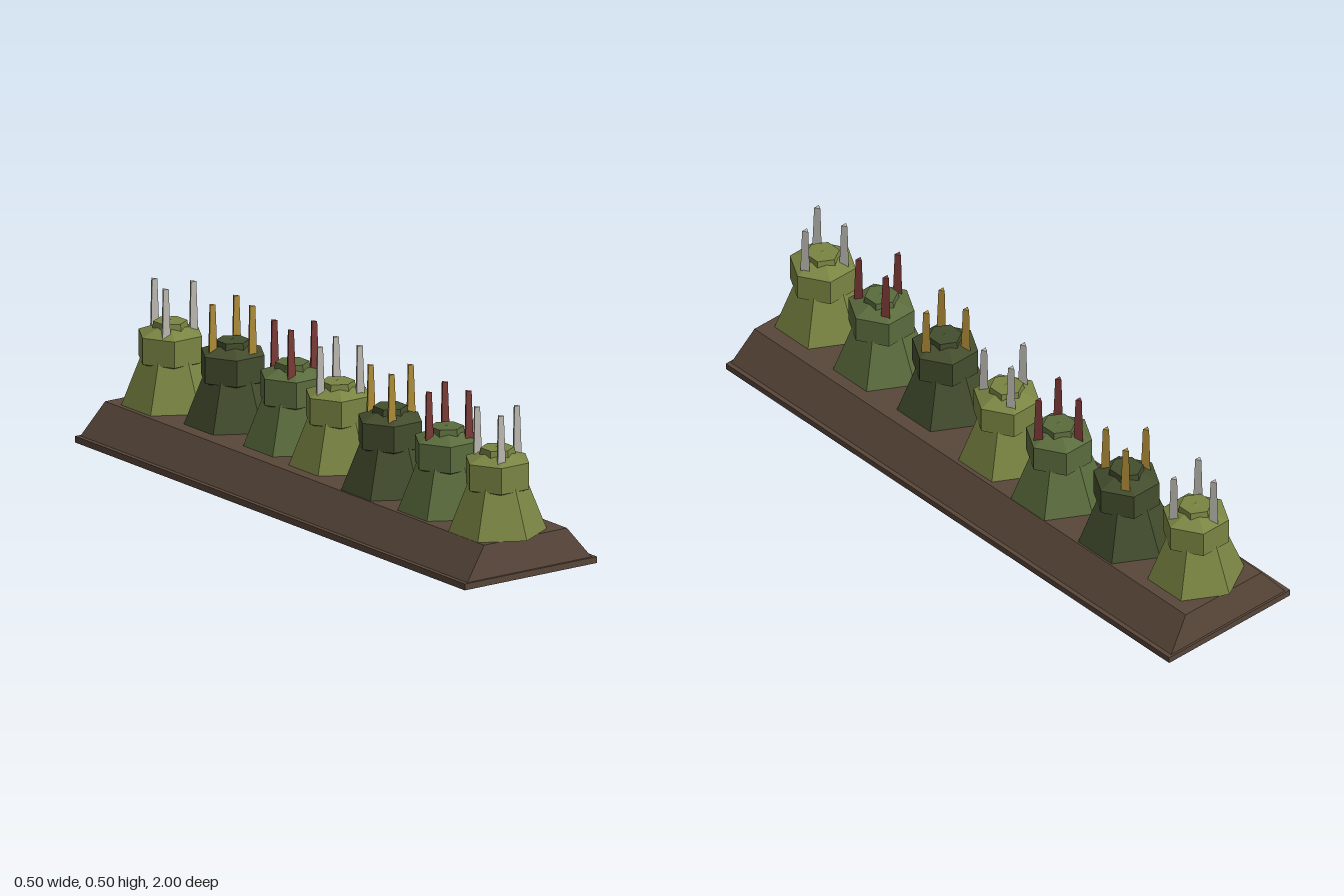
import * as THREE from 'three';

const mat = (name, color) => {
  const m = new THREE.MeshStandardMaterial({ color, flatShading: true });
  m.name = name;
  return m;
};

export function createModel() {
  const earth = mat('earth brown', 0x584639);
  const olive = mat('light olive', 0x7a8543);
  const moss = mat('moss green', 0x5b6c3d);
  const pine = mat('dark green', 0x434d2d);
  const white = mat('bone white', 0xb9b6ad);
  const red = mat('dull red', 0x7a3a35);
  const gold = mat('ochre', 0xac8a37);

  const add = (parent, geometry, material, name, x, y, z) => {
    const mesh = new THREE.Mesh(geometry, material);
    mesh.name = name;
    mesh.position.set(x, y, z);
    parent.add(mesh);
    return mesh;
  };

  const model = new THREE.Group();
  model.name = 'row of spiked bushes';

  // Base: thin lip with a sloped bank on it
  const baseZ = -0.006;
  add(model, new THREE.BoxGeometry(0.498, 0.02, 1.985), earth, 'baseLip', 0, 0.01, baseZ);
  const bank = new THREE.BoxGeometry(0.468, 0.1, 1.97);
  const p = bank.attributes.position;
  for (let i = 0; i < p.count; i++) {
    if (p.getY(i) > 0) {
      p.setX(i, Math.sign(p.getX(i)) * 0.156);
      p.setZ(i, Math.sign(p.getZ(i)) * 0.965);
    }
  }
  add(model, bank, earth, 'baseBank', 0, 0.07, baseZ);

  // Shared shapes of one bush
  const skirt = new THREE.CylinderGeometry(0.08, 0.15, 0.18, 6);
  const crown = new THREE.SphereGeometry(0.121, 6, 3).scale(1, 0.686, 1);
  const cap = new THREE.CylinderGeometry(0.052, 0.058, 0.041, 6);
  const spike = new THREE.CylinderGeometry(0.0115, 0.0175, 0.16, 3).rotateY(Math.PI);

  // x, z, angle of first spike in degrees, leaf colour, spike colour
  const bushes = [
    [-0.01, -0.836, 20, olive, white],
    [0.02, -0.558, 73, pine, gold],
    [0.025, -0.262, 12, moss, red],
    [0.012, -0.013, 60, olive, white],
    [-0.02, 0.297, 5, pine, gold],
    [-0.013, 0.575, 60, moss, red],
    [-0.025, 0.85, 0, olive, white],
  ];

  bushes.forEach(([x, z, turn, leaf, tip], n) => {
    const bush = new THREE.Group();
    bush.name = `bush${n + 1}`;
    bush.position.set(x, 0, z);
    add(bush, skirt, leaf, 'skirt', 0, 0.21, 0);
    add(bush, crown, leaf, 'crown', 0, 0.302, 0);
    add(bush, cap, leaf, 'cap', 0, 0.361, 0);
    // Three spikes around the crown
    for (let i = 0; i < 3; i++) {
      const a = THREE.MathUtils.degToRad(turn + i * 120);
      add(bush, spike, tip, 'spike', Math.cos(a) * 0.07, 0.42, Math.sin(a) * 0.07);
    }
    model.add(bush);
  });

  return model;
}
